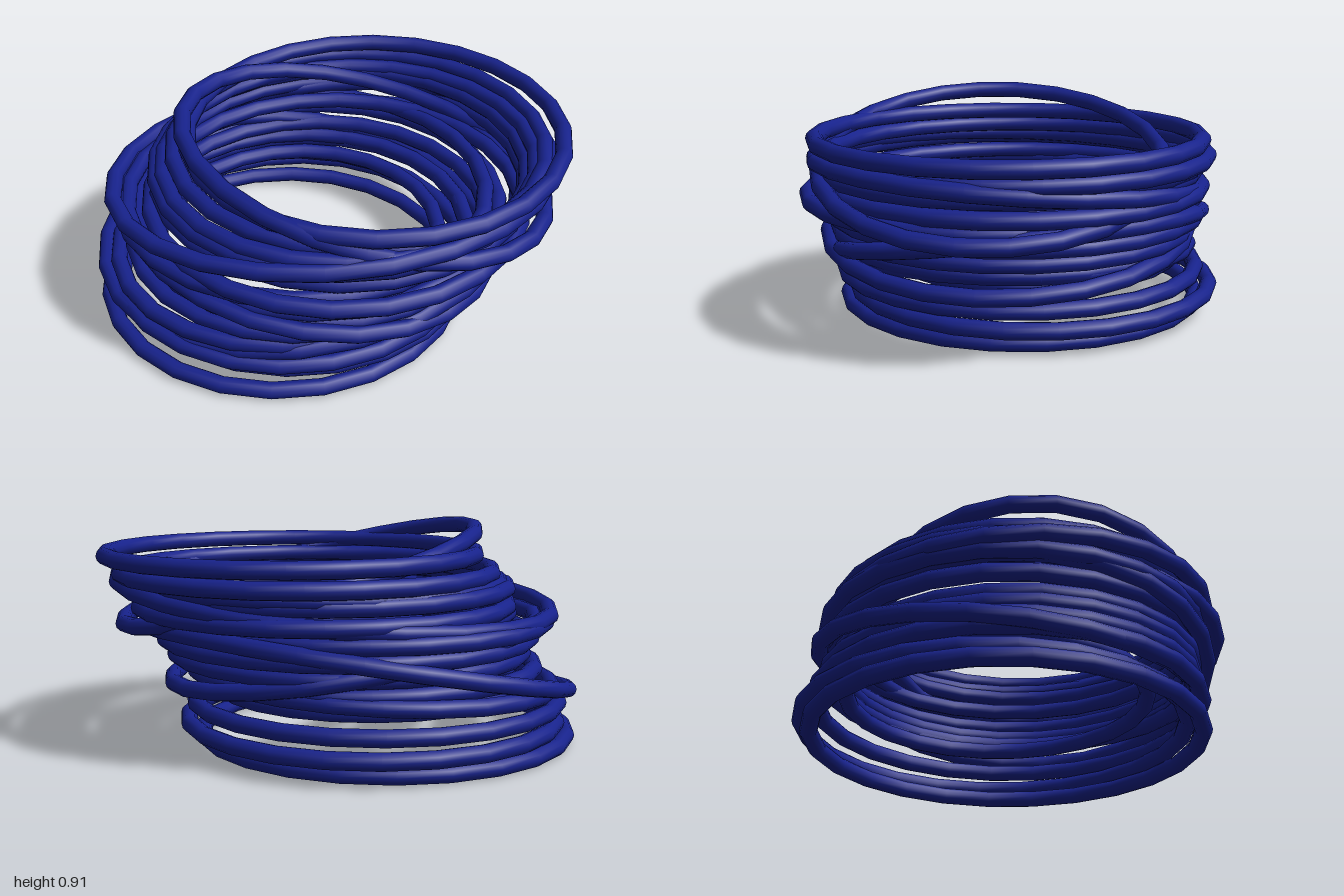
import * as THREE from 'three';

const TUBE = 0.035;

// One bangle lying flat, stretched to rx by rz and tilted:
// rise = lift at its +x end, front = lift at its +z end
function bangle(material, { x, y, z, rx = 0.77, rz = 0.77, rise = 0, front = 0 }) {
  const geometry = new THREE.TorusGeometry(rz, TUBE, 12, 24);
  geometry.rotateX(-Math.PI / 2);
  const p = geometry.attributes.position;
  for (let i = 0; i < p.count; i++) {
    const px = p.getX(i), pz = p.getZ(i);
    const c = px / Math.hypot(px, pz), s = pz / Math.hypot(px, pz);
    p.setXYZ(i, px + (rx - rz) * c, p.getY(i) + rise * c + front * s, pz);
  }
  const mesh = new THREE.Mesh(geometry, material);
  mesh.position.set(x, y, z);
  return mesh;
}

export function createModel() {
  const group = new THREE.Group();
  group.name = 'bangleStack';
  const material = new THREE.MeshStandardMaterial({ color: 0x17228c });

  // Level bangles, from the bottom up
  const level = [
    { x: -0.195, y: 0.035, z: -0.02 },
    { x: -0.14, y: 0.103, z: -0.075 },
    { x: -0.16, y: 0.172, z: -0.015 },
    { x: -0.125, y: 0.24, z: -0.07, rx: 0.615, rz: 0.615 },
    { x: -0.11, y: 0.31, z: 0, rx: 0.72, rz: 0.73 },
    { x: -0.045, y: 0.375, z: 0, rx: 0.735, rz: 0.74 },
    { x: -0.04, y: 0.442, z: -0.015 },
    { x: -0.1, y: 0.505, z: -0.01 },
    { x: 0.06, y: 0.572, z: -0.025 },
    { x: 0.06, y: 0.642, z: 0 },
    { x: 0.13, y: 0.71, z: -0.045 },
    { x: 0.195, y: 0.78, z: -0.02 },
  ];
  // Bangles that slipped and lie aslant through the stack
  const slanted = [
    { x: -0.15, y: 0.265, z: -0.01, rx: 0.755, rz: 0.74, rise: 0.04, front: -0.01 },
    { x: -0.08, y: 0.34, z: -0.03, rx: 0.89, rise: 0.14, front: -0.1 },
    { x: -0.065, y: 0.38, z: 0.02, rise: -0.13 },
    { x: 0.04, y: 0.525, z: 0.07, rise: -0.01, front: 0.005 },
    { x: 0.015, y: 0.615, z: 0.01, rx: 0.91, rz: 0.79, rise: 0.075, front: 0.05 },
    { x: 0.09, y: 0.675, z: 0, rise: 0.015, front: 0.01 },
    { x: 0.165, y: 0.685, z: 0.05, rx: 0.745, rz: 0.7, rise: -0.19, front: 0.03 },
  ];

  for (const [label, rings] of [['levelBangle', level], ['slantedBangle', slanted]]) {
    rings.forEach((ring, i) => {
      const mesh = bangle(material, ring);
      mesh.name = `${label}${i + 1}`;
      group.add(mesh);
    });
  }
  return group;
}
